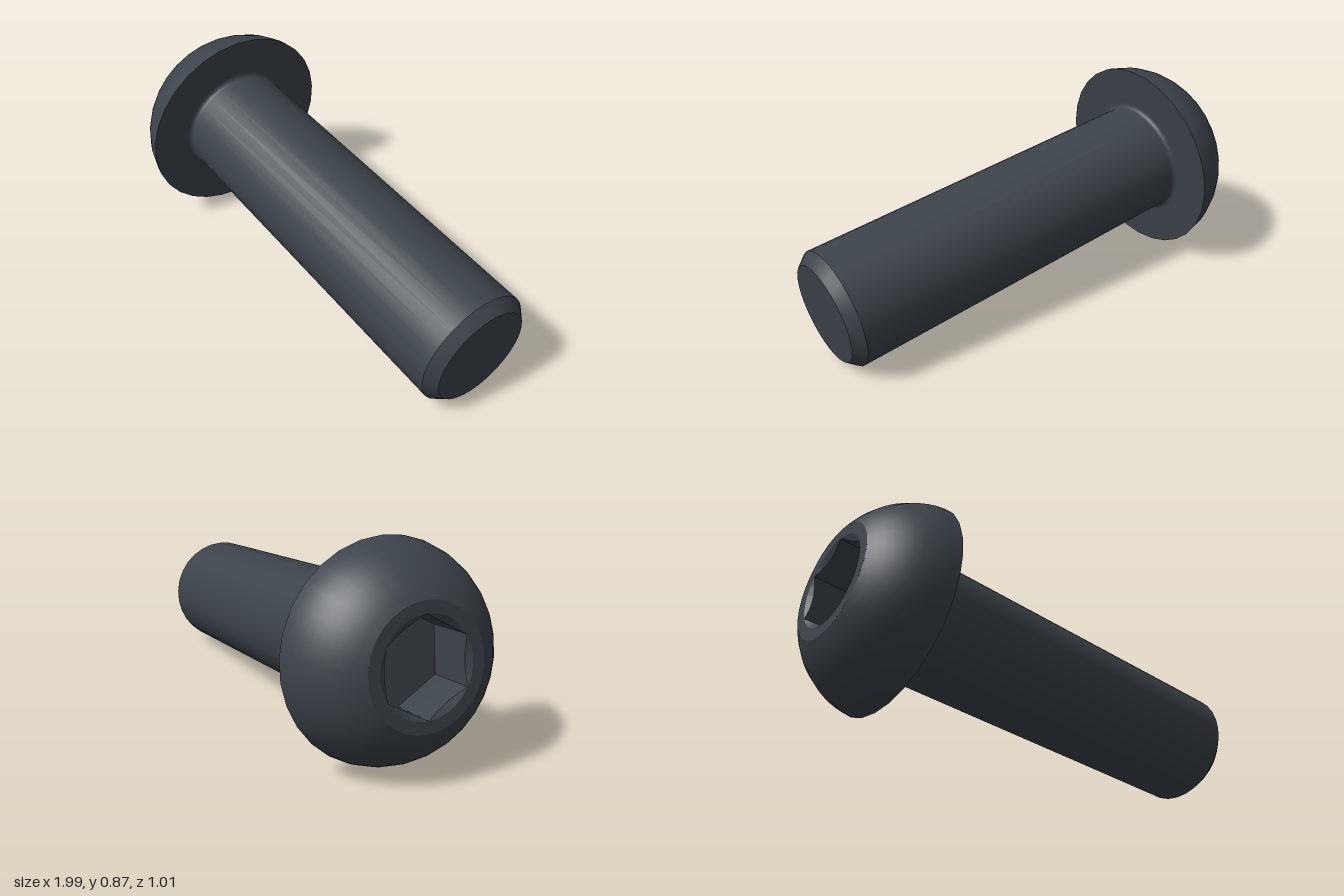
import * as THREE from 'three';

const SIDES = 30;
const HEAD_R = 0.4375, HEAD_H = 0.275, FACE_R = 0.24;
const SHAFT_R = 0.25, LENGTH = 1.667, TIP_R = 0.21, BEVEL = 0.046, FILLET = 0.02;
const HEX_R = 0.192, HEX_DEPTH = 0.2;

export function createModel() {
  const steel = new THREE.MeshStandardMaterial({ color: 0x3c434a });
  steel.name = 'dark steel';

  // The bolt is built along y: underside of the head at y = 0, tip at -LENGTH
  const bolt = new THREE.Group();
  bolt.name = 'bolt';

  const add = (name, geometry) => {
    const mesh = new THREE.Mesh(geometry, steel);
    mesh.name = name;
    bolt.add(mesh);
  };
  // Each lathe is one smooth surface, so edges between them stay sharp
  const lathe = (name, points) =>
    add(name, new THREE.LatheGeometry(points.map(([r, y]) => new THREE.Vector2(r, y)), SIDES));

  // Rounded head: an arc from the rim to the flat face
  const cx = 0.078, cy = -0.05;
  const a0 = Math.atan2(-cy, HEAD_R - cx);
  const a1 = Math.atan2(HEAD_H - cy, FACE_R - cx);
  const rho = Math.hypot(HEAD_R - cx, cy);
  const dome = [];
  for (let i = 0; i <= 10; i++) {
    const a = a0 + (a1 - a0) * i / 10;
    dome.push([cx + rho * Math.cos(a), cy + rho * Math.sin(a)]);
  }
  lathe('headDome', dome);
  lathe('headFace', [[FACE_R, HEAD_H], [HEX_R, HEAD_H]]);
  lathe('headUnderside', [[SHAFT_R + FILLET, 0], [HEAD_R, 0]]);

  // Shaft with a small fillet under the head
  const shaft = [[SHAFT_R, BEVEL - LENGTH]];
  for (let i = 0; i <= 5; i++) {
    const a = Math.PI / 2 * i / 5;
    shaft.push([SHAFT_R + FILLET * (1 - Math.cos(a)), FILLET * (Math.sin(a) - 1)]);
  }
  lathe('shaft', shaft);
  lathe('tipBevel', [[TIP_R, -LENGTH], [SHAFT_R, BEVEL - LENGTH]]);
  lathe('tipFace', [[0, -LENGTH], [TIP_R, -LENGTH]]);

  // Hex socket: walls cut by a shallow countersink, so each wall has an arched top
  const wall = [], sink = [], floor = [];
  const floorY = HEAD_H - HEX_DEPTH;
  const apothem = HEX_R * Math.cos(Math.PI / 6);
  const at = (i) => {
    const a = i * 2 * Math.PI / SIDES;
    const local = (i % 5) * Math.PI / 15 - Math.PI / 6;
    const r = apothem / Math.cos(local);
    const ring = (radius, y) => [radius * Math.sin(a), y, radius * Math.cos(a)];
    return {
      rim: ring(HEX_R, HEAD_H),
      top: ring(r, HEAD_H - (HEX_R - r) * 0.58),
      base: ring(r, floorY),
    };
  };
  const quad = (out, a, b, c, d) => out.push(...a, ...b, ...c, ...a, ...c, ...d);
  for (let i = 0; i < SIDES; i++) {
    const p = at(i), q = at(i + 1);
    quad(wall, p.top, q.top, q.base, p.base);
    quad(sink, p.rim, q.rim, q.top, p.top);
    floor.push(0, floorY, 0, ...p.base, ...q.base);
  }
  const faces = (name, list) => {
    const g = new THREE.BufferGeometry();
    g.setAttribute('position', new THREE.Float32BufferAttribute(list, 3));
    g.computeVertexNormals();
    add(name, g);
  };
  faces('socketWalls', wall);
  faces('socketCountersink', sink);
  faces('socketFloor', floor);

  // Lay the bolt down, tip to the left and slightly forward, resting on rim and tip
  const y = new THREE.Vector3(-1, 0.119, -0.2123).normalize();
  const z = new THREE.Vector3(0, 1, 0).addScaledVector(y, -y.y).normalize();
  const x = new THREE.Vector3().crossVectors(y, z);
  bolt.quaternion.setFromRotationMatrix(new THREE.Matrix4().makeBasis(x, y, z));
  bolt.position.set(-0.672, 0.437, -0.077);

  const model = new THREE.Group();
  model.name = 'buttonHeadBolt';
  model.add(bolt);
  return model;
}
